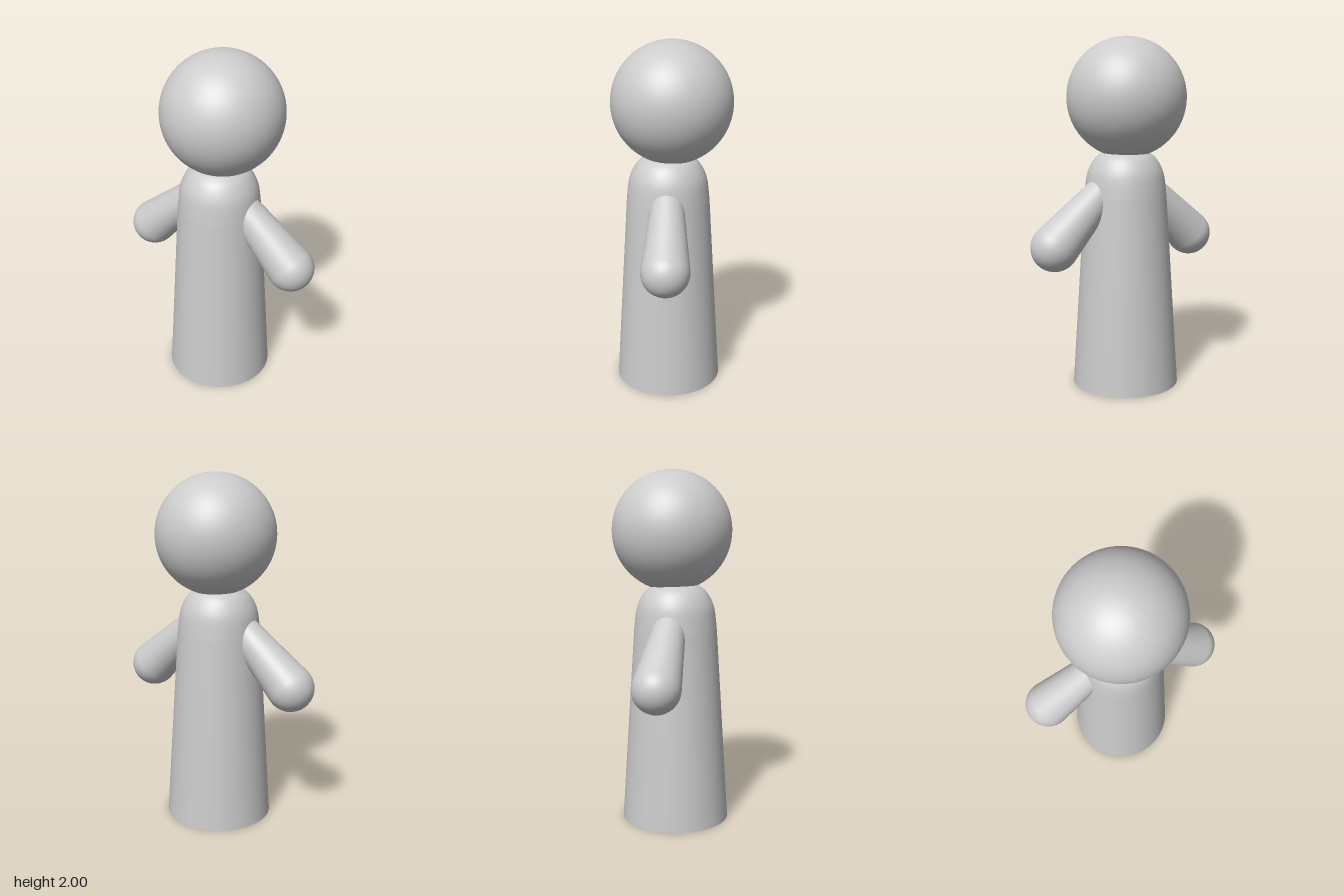
import * as THREE from 'three';

const material = new THREE.MeshStandardMaterial({ color: 0xcccccc });
const openMaterial = new THREE.MeshStandardMaterial({ color: 0xcccccc, side: THREE.DoubleSide });

function addMesh(parent, name, geometry, mat = material) {
  const mesh = new THREE.Mesh(geometry, mat);
  mesh.name = name;
  parent.add(mesh);
  return mesh;
}

// Tapered capsule along +y: small round end at the origin, large one at y = length
function taperedCapsule(r0, r1, length) {
  const tilt = Math.asin((r1 - r0) / length);
  const points = [];
  const steps = 14;
  const arc = (r, y, from, to) => {
    for (let i = 0; i <= steps; i++) {
      const a = from + (to - from) * i / steps;
      points.push(new THREE.Vector2(Math.max(0, r * Math.cos(a)), y + r * Math.sin(a)));
    }
  };
  arc(r0, 0, -Math.PI / 2, -tilt);
  arc(r1, length, -tilt, Math.PI / 2);
  return new THREE.LatheGeometry(points, 40);
}

export function createModel() {
  const group = new THREE.Group();

  // Ball head
  addMesh(group, 'head', new THREE.SphereGeometry(0.339, 64, 40)).position.set(0.003, 1.661, 0);

  // Torso and arms share one vertical axis, slightly forward of the head
  const figure = new THREE.Group();
  figure.name = 'figure';
  figure.position.z = 0.023;
  group.add(figure);

  // Hollow robe: straight taper, rounded shoulders, open at the bottom
  const shoulder = new THREE.SplineCurve([
    [0.237, 1.1], [0.226, 1.2], [0.212, 1.255], [0.186, 1.305],
    [0.155, 1.338], [0.11, 1.36], [0, 1.372],
  ].map(([r, y]) => new THREE.Vector2(r, y)));
  const profile = [new THREE.Vector2(0.307, 0), new THREE.Vector2(0.272, 0.55), ...shoulder.getPoints(30)];
  profile[profile.length - 1].x = 0;
  addMesh(figure, 'body', new THREE.LatheGeometry(profile, 64), openMaterial);

  // Arms: one on each side, turned half a circle about the body axis
  const armGeometry = taperedCapsule(0.09, 0.133, 0.425);
  for (const [name, turn] of [['leftArm', 0], ['rightArm', Math.PI]]) {
    const pivot = new THREE.Group();
    pivot.name = name + 'Pivot';
    pivot.rotation.y = 0.166 + turn;
    figure.add(pivot);
    const arm = addMesh(pivot, name, armGeometry);
    arm.position.set(0.156, 1.135, 0);
    arm.rotation.z = -Math.PI / 2 - 0.75;
  }

  return group;
}
